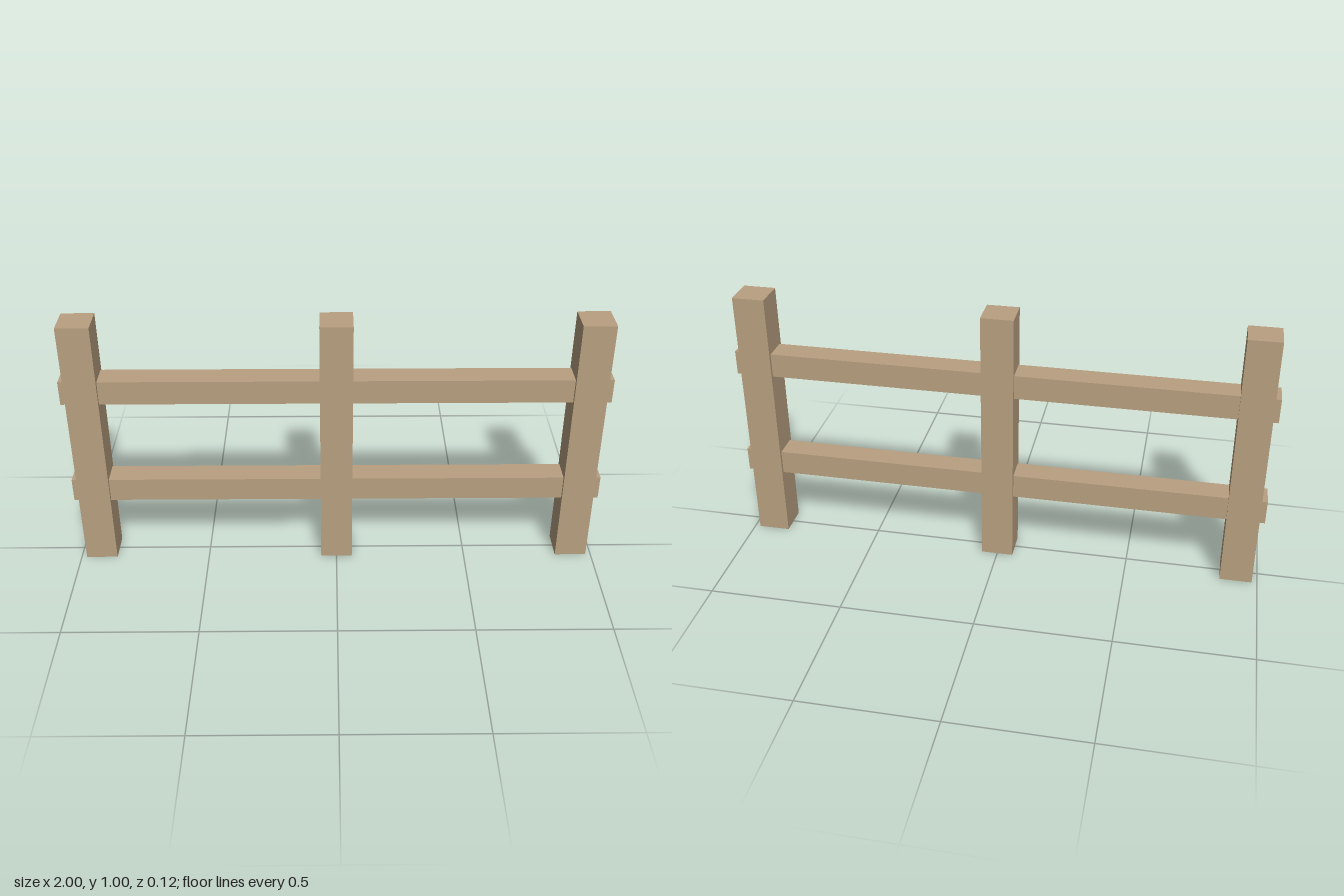
import * as THREE from 'three';

export function createModel() {
  const fence = new THREE.Group();
  fence.name = 'fence';

  const wood = new THREE.MeshStandardMaterial({ color: 0xb8a080 });
  wood.name = 'wood';

  const addBeam = (name, size, position) => {
    const beam = new THREE.Mesh(new THREE.BoxGeometry(...size), wood);
    beam.name = name;
    beam.position.set(...position);
    fence.add(beam);
  };

  // Three square upright posts
  const posts = { rightPost: -0.92, middlePost: 0, leftPost: 0.92 };
  for (const [name, x] of Object.entries(posts)) {
    addBeam(name, [0.12, 1, 0.12], [x, 0.5, 0]);
  }

  // Two rails running through the posts, ends just proud of the outer ones
  const rails = { lowerRail: 0.31, upperRail: 0.732 };
  for (const [name, y] of Object.entries(rails)) {
    addBeam(name, [2, 0.092, 0.094], [0, y, 0]);
  }

  return fence;
}
